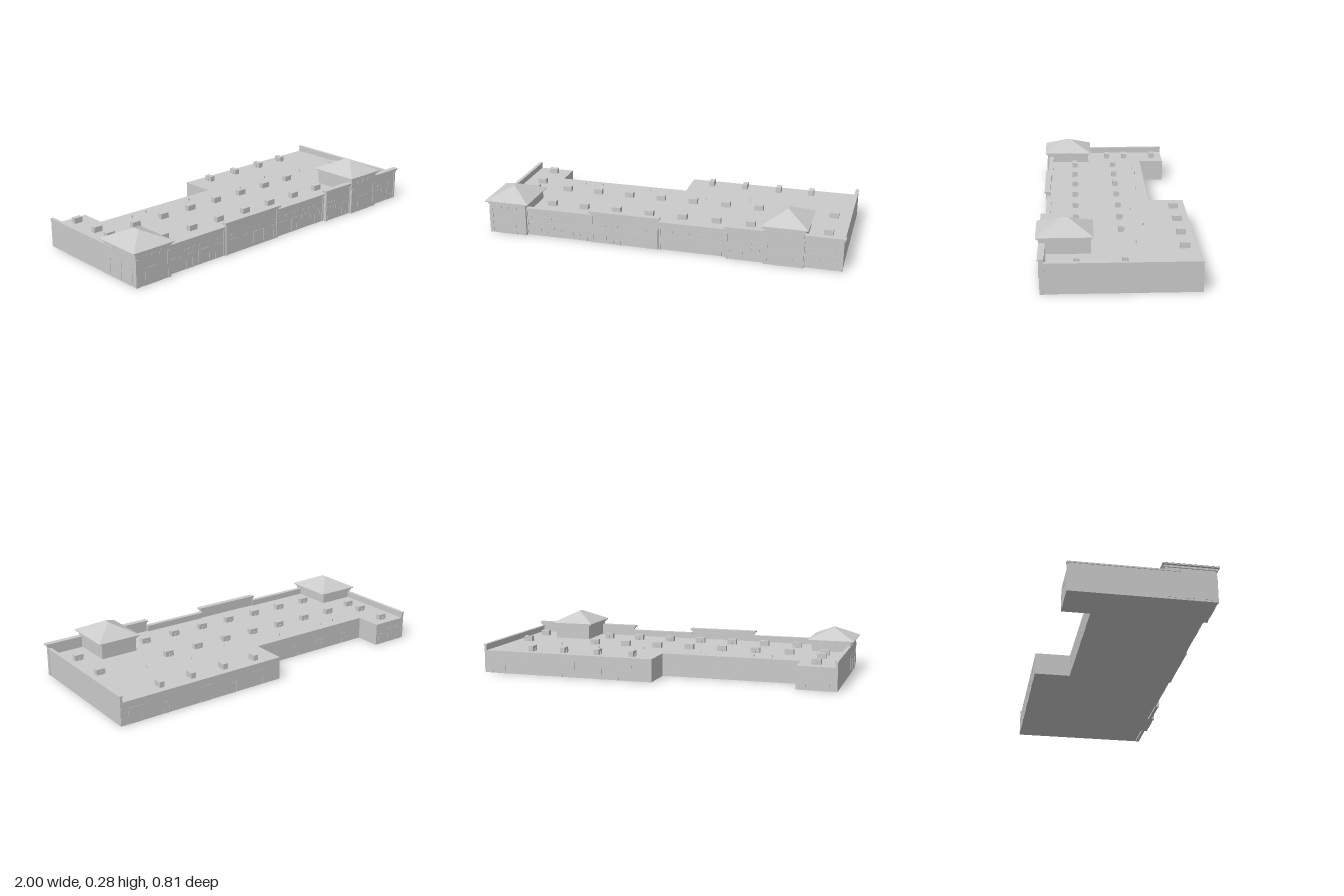
import * as THREE from 'three';

const mat = new THREE.MeshStandardMaterial({ color: 0xcccccc, flatShading: true });
const DECK = 0.125;

function add(parent, name, geometry) {
  const mesh = new THREE.Mesh(geometry, mat);
  mesh.name = name;
  parent.add(mesh);
  return mesh;
}

// Box given by its two extreme corners
function box(parent, name, x0, x1, y0, y1, z0, z1) {
  const mesh = add(parent, name, new THREE.BoxGeometry(x1 - x0, y1 - y0, z1 - z0));
  mesh.position.set((x0 + x1) / 2, (y0 + y1) / 2, (z0 + z1) / 2);
  return mesh;
}

// Hipped roof with a short ridge along z
function hipRoof(x0, x1, y0, y1, z0, z1, ridge) {
  const xm = (x0 + x1) / 2, zm = (z0 + z1) / 2;
  const g = new THREE.BufferGeometry();
  g.setAttribute('position', new THREE.Float32BufferAttribute([
    x0, y0, z1, x1, y0, z1, x1, y0, z0, x0, y0, z0,
    xm, y1, zm + ridge / 2, xm, y1, zm - ridge / 2,
  ], 3));
  g.setIndex([0, 1, 4, 1, 2, 5, 1, 5, 4, 2, 3, 5, 3, 0, 4, 3, 4, 5, 0, 2, 1, 0, 3, 2]);
  const flat = g.toNonIndexed();
  flat.computeVertexNormals();
  return flat;
}

// Corner tower: shaft, frieze, eave slab and hipped roof
function tower(parent, name, x0, x1, z0, z1, eave, peak) {
  const t = new THREE.Group();
  t.name = name;
  parent.add(t);
  box(t, 'towerShaft', x0, x1, 0, eave - 0.012, z0, z1);
  box(t, 'towerFrieze', x0 - 0.006, x1 + 0.006, eave - 0.014, eave - 0.003, z0 - 0.006, z1 + 0.006);
  const o = 0.018, f = 0.012;
  box(t, 'towerEave', x0 - o, x1 + o, eave - 0.004, eave + 0.003, z0 - f, z1 + f);
  add(t, 'towerRoof', hipRoof(x0 - o - 0.002, x1 + o + 0.002, eave + 0.002, peak, z0 - f - 0.002, z1 + f + 0.002, 0.035));
  // corner piers and front openings
  for (const x of [x0, x1 - 0.018]) box(t, 'towerPier', x - 0.001, x + 0.019, 0, 0.145, z1 - 0.01, z1 + 0.003);
  const m = (x0 + x1) / 2;
  box(t, 'towerDoor', m - 0.05, m + 0.05, 0, 0.09, z1 - 0.005, z1 + 0.002);
  for (const x of [m - 0.045, m, m + 0.045])
    box(t, 'towerWindow', x - 0.009, x + 0.009, eave - 0.045, eave - 0.025, z1 - 0.005, z1 + 0.002);
  return t;
}

// Framed opening on a wall facing dir (+1 front, -1 back)
function opening(parent, name, x, w, y0, y1, z, dir) {
  const d = 0.002 * dir, zs = (a, b) => [Math.min(a, b), Math.max(a, b)];
  box(parent, name, x - w / 2, x + w / 2, y0, y1, ...zs(z - 2 * d, z + d / 2));
  const e = 0.003;
  for (const s of [-1, 1]) {
    const c = x + s * w / 2;
    box(parent, name + 'Jamb', c - e, c + e, y0, y1, ...zs(z - 2 * d, z + d));
  }
  box(parent, name + 'Head', x - w / 2 - e, x + w / 2 + e, y1, y1 + 2 * e, ...zs(z - 2 * d, z + d));
}

export function createModel() {
  const root = new THREE.Group();
  root.name = 'shoppingCentre';

  // Main block with the recessed rear court
  const plan = new THREE.Shape([
    [-0.975, -0.355], [0.98, -0.355], [0.98, 0.405], [0, 0.405],
    [0, 0.21], [-0.765, 0.21], [-0.765, 0.355], [-0.975, 0.355],
  ].map(([x, y]) => new THREE.Vector2(x, y)));
  const block = new THREE.ExtrudeGeometry(plan, { depth: DECK, bevelEnabled: false });
  add(root, 'mainBlock', block.rotateX(-Math.PI / 2));

  // Side parapet walls with coping
  box(root, 'leftSideWall', 0.972, 0.985, 0, 0.156, -0.404, 0.37);
  box(root, 'leftSideCoping', 0.969, 0.988, 0.152, 0.16, -0.406, 0.37);
  box(root, 'rightSideWall', -0.98, -0.967, 0, 0.156, -0.356, 0.2);
  box(root, 'rightSideCoping', -0.983, -0.964, 0.152, 0.16, -0.358, 0.2);

  // Front facade sections: x range, parapet height, wall face
  const front = new THREE.Group();
  front.name = 'frontFacade';
  root.add(front);
  const sections = [
    [-0.77, -0.385, 0.16, 0.36], [-0.385, -0.005, 0.185, 0.367], [-0.005, 0.37, 0.16, 0.36],
    [0.37, 0.58, 0.185, 0.379], [0.78, 0.988, 0.185, 0.379],
  ];
  for (const [x0, x1, top, z] of sections) {
    const tall = top > 0.17;
    box(front, 'frontWall', x0, x1, 0, top - 0.004, z - 0.017, z);
    const o = tall ? 0.01 : 0.001;
    box(front, 'frontCornice', x0 - o, x1 + o, top - 0.009, top, z - 0.02, z + (tall ? 0.012 : 0.006));
    if (tall) box(front, 'frontCorniceBand', x0 - 0.004, x1 + 0.004, top - 0.017, top - 0.008, z - 0.018, z + 0.006);
    // shop doors, display windows and a row of small panes above
    const bays = Math.round((x1 - x0) / 0.095), step = (x1 - x0) / bays;
    for (let i = 0; i < bays; i++) {
      const x = x0 + (i + 0.5) * step;
      if (i % 2) opening(front, 'shopDoor', x, 0.04, 0, 0.075, z, 1);
      else opening(front, 'shopWindow', x, 0.07, 0.015, 0.075, z, 1);
      for (const s of [-1, 0, 1])
        box(front, 'upperPane', x + s * 0.026 - 0.008, x + s * 0.026 + 0.008, 0.1, 0.112, z - 0.004, z + 0.0015);
    }
    for (const x of [x0 + 0.001, x1 - 0.011]) box(front, 'pilaster', x, x + 0.01, 0, top - 0.018, z - 0.004, z + 0.004);
  }

  // Towers
  tower(root, 'leftTower', 0.575, 0.785, 0.132, 0.392, 0.215, 0.28);
  const rightTower = tower(root, 'rightTower', -0.98, -0.765, 0.12, 0.378, 0.186, 0.247);
  for (const z of [0.15, 0.24, 0.33]) box(rightTower, 'towerSideWindow', -0.982, -0.975, 0.01, 0.1, z - 0.022, z + 0.022);

  // Rear loading doors: x, width, wall face
  const rear = new THREE.Group();
  rear.name = 'rearDoors';
  root.add(rear);
  for (const [x, w, z] of [
    [0.9, 0.075, -0.405], [0.72, 0.03, -0.405], [0.48, 0.075, -0.405], [0.3, 0.03, -0.405], [0.15, 0.075, -0.405],
    [-0.08, 0.03, -0.21], [-0.27, 0.035, -0.21], [-0.45, 0.035, -0.21], [-0.64, 0.03, -0.21],
    [-0.8, 0.03, -0.355], [-0.9, 0.075, -0.355],
  ]) opening(rear, 'rearDoor', x, w, 0, w > 0.05 ? 0.08 : 0.055, z, -1);

  // Rooftop air units
  const units = new THREE.Group();
  units.name = 'rooftopUnits';
  root.add(units);
  const unit = (x, z, turned) => {
    const u = new THREE.Group();
    u.name = 'rooftopUnit';
    box(u, 'unitCase', -0.025, 0.025, 0, 0.03, -0.014, 0.014);
    box(u, 'unitDuct', -0.006, 0.004, 0, 0.016, -0.02, -0.013);
    u.position.set(x, DECK, z);
    if (turned) u.rotation.y = Math.PI / 2;
    units.add(u);
  };
  for (const x of [-0.67, -0.48, -0.29, -0.1, 0.09, 0.28, 0.47, 0.89]) {
    unit(x, -0.03);
    unit(x, 0.207);
  }
  for (const z of [-0.29, -0.11, 0]) unit(-0.86, z);
  for (const x of [0.13, 0.33, 0.53, 0.72]) unit(x, -0.34, true);

  // Small roof vents
  for (const [x, z] of [[-0.6, -0.15], [-0.5, -0.16], [-0.2, -0.15], [0.15, -0.1], [0.4, -0.15], [0.65, -0.1]]) {
    const vent = add(root, 'roofVent', new THREE.CylinderGeometry(0.003, 0.003, 0.012, 8));
    vent.position.set(x, DECK + 0.006, z);
  }
  return root;
}
